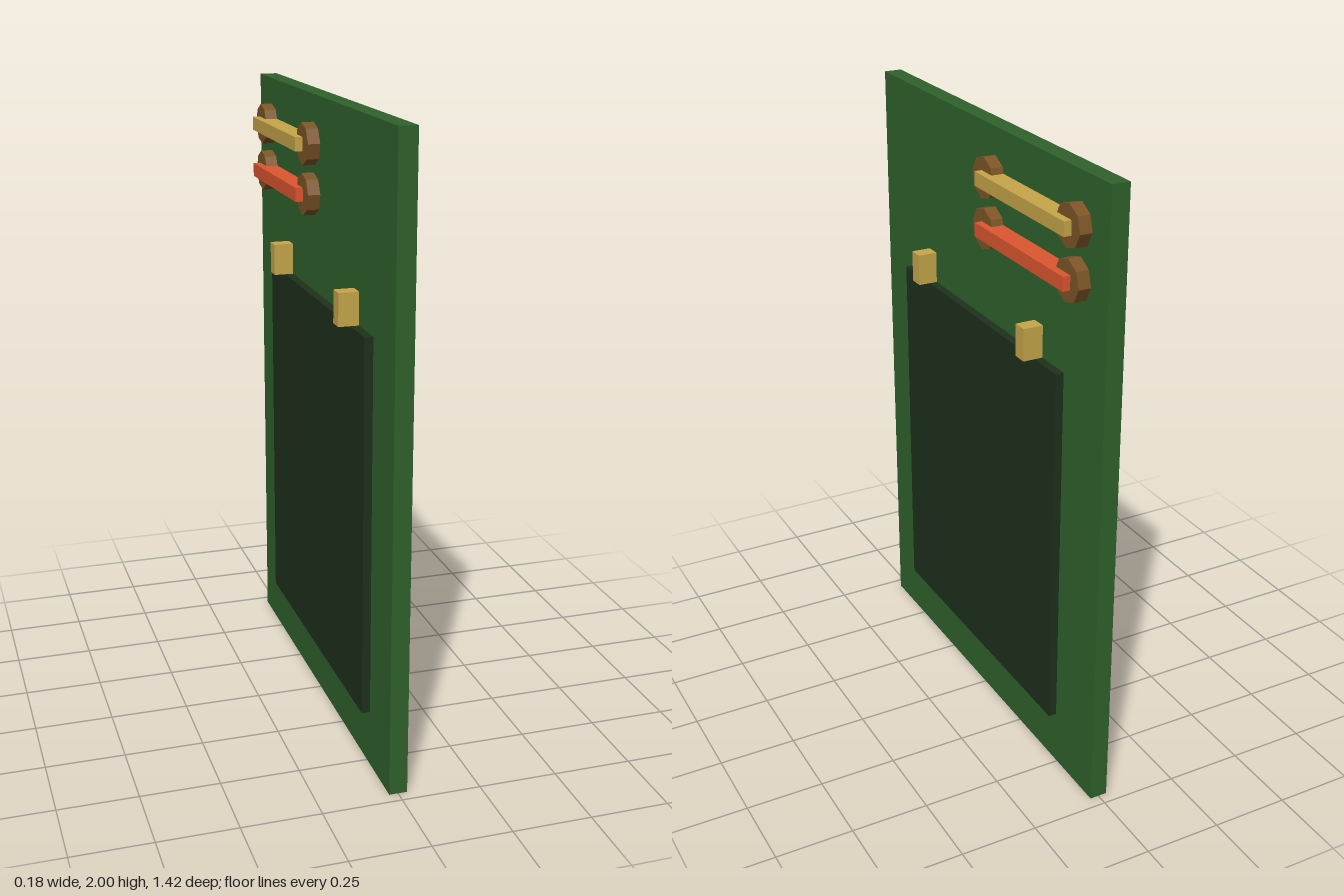
import * as THREE from 'three';

const material = (color) => new THREE.MeshStandardMaterial({ color, flatShading: true });
const green = material(0x2f622c);
const dark = material(0x1e301c);
const gold = material(0xc6a64a);
const orange = material(0xdc562f);
const brown = material(0x7c5526);

export function createModel() {
  const model = new THREE.Group();

  function add(name, geometry, mat, x, y, z) {
    const mesh = new THREE.Mesh(geometry, mat);
    mesh.name = name;
    mesh.position.set(x, y, z);
    model.add(mesh);
  }

  // Upright board
  add('board', new THREE.BoxGeometry(0.057, 2, 1.424), green, 0, 1, 0);

  // Raised fittings, the same on both faces of the board
  for (const [side, s] of [['left', 1], ['right', -1]]) {
    // Each fitting starts inside the board and rises to its own height
    const box = (name, mat, top, y, height, z, length) =>
      add(`${side}${name}`, new THREE.BoxGeometry(top, height, length), mat, (s * top) / 2, y, z);

    box('Panel', dark, 0.055, 0.78, 1.2, 0.018, 1.012);

    // Clips above the panel
    box('FrontClip', gold, 0.092, 1.431, 0.102, 0.367, 0.049);
    box('RearClip', gold, 0.092, 1.431, 0.102, -0.34, 0.049);

    // Bars with an octagonal boss at each end
    for (const [row, y, mat] of [['Upper', 1.849, gold], ['Lower', 1.692, orange]]) {
      box(`${row}Bar`, mat, 0.092, y, 0.044, -0.318, 0.522);
      for (const [end, z] of [['Front', -0.063], ['Rear', -0.558]]) {
        const boss = new THREE.CylinderGeometry(0.066, 0.066, 0.068, 8, 1, false, -0.11);
        boss.rotateZ(-Math.PI / 2);
        add(`${side}${row}${end}Boss`, boss, brown, s * 0.034, y, z);
      }
    }
  }
  return model;
}
